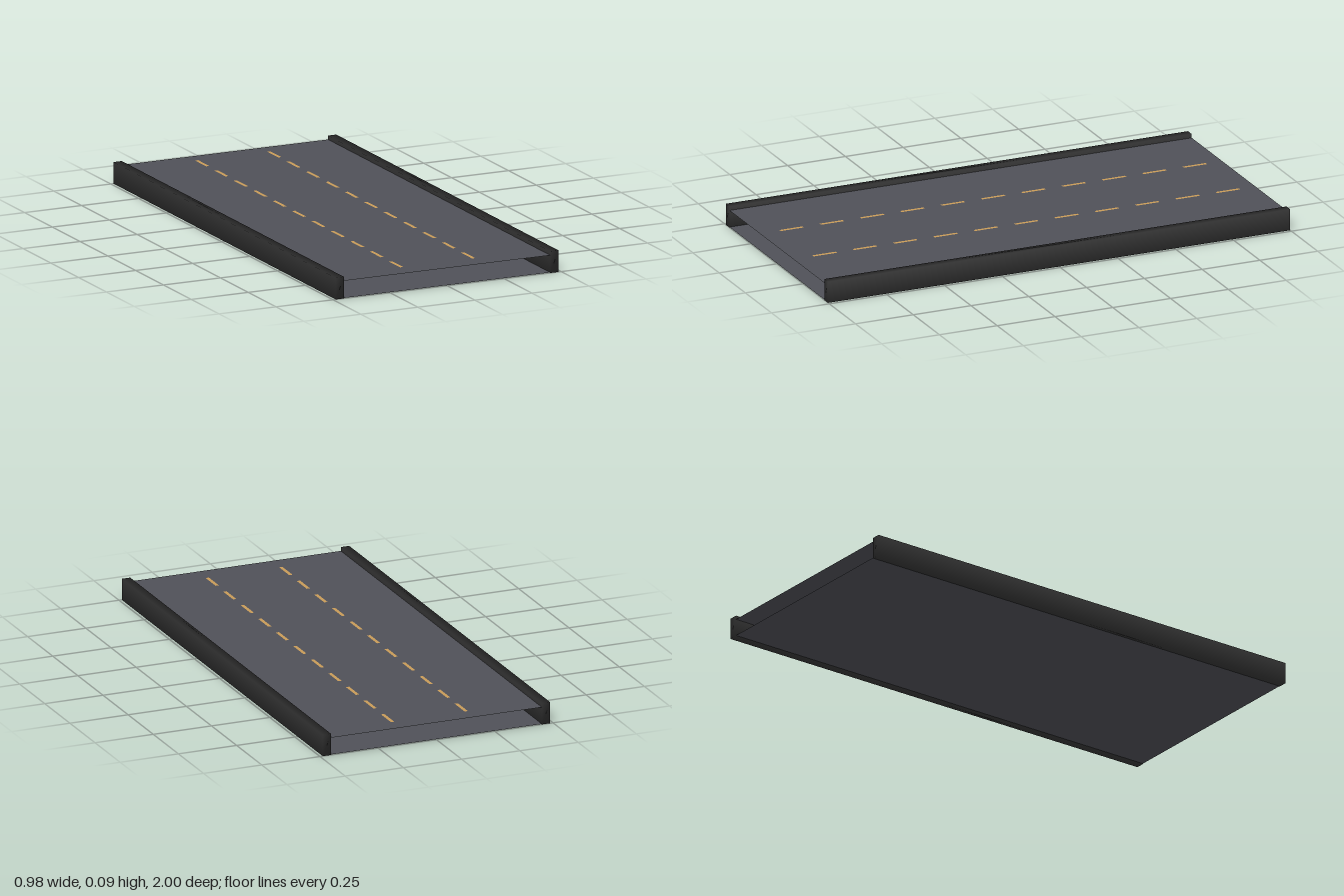
import * as THREE from 'three';
import { mergeVertices } from 'three/addons/utils/BufferGeometryUtils.js';

const LENGTH = 2;
const RAIL_WIDTH = 0.036;
const RAIL_HEIGHT = 0.088;
const ROAD_WIDTH = 0.906;
const DECK_Y = 0.072;

// Box whose corners share one averaged normal, for soft shading
function softBox(w, h, d) {
  const box = new THREE.BoxGeometry(w, h, d);
  box.deleteAttribute('normal');
  box.deleteAttribute('uv');
  const soft = mergeVertices(box);
  soft.computeVertexNormals();
  return soft;
}

// Horizontal sheet facing up
function sheet(w, d) {
  return new THREE.PlaneGeometry(w, d).rotateX(-Math.PI / 2);
}

export function createModel() {
  const group = new THREE.Group();
  const asphalt = new THREE.MeshStandardMaterial({ color: 0x505158, side: THREE.DoubleSide });
  const railDark = new THREE.MeshStandardMaterial({ color: 0x2f2f2f });
  const paint = new THREE.MeshStandardMaterial({ color: 0xc89b58, side: THREE.DoubleSide });

  const add = (name, geometry, material, x, y, z, parent = group) => {
    const mesh = new THREE.Mesh(geometry, material);
    mesh.name = name;
    mesh.position.set(x, y, z);
    parent.add(mesh);
  };

  // Road deck and underside, open at both ends
  const road = sheet(ROAD_WIDTH, LENGTH);
  add('roadDeck', road, asphalt, 0, DECK_Y, 0);
  add('roadUnderside', road, asphalt, 0, 0.002, 0);

  // Side rails
  const rail = softBox(RAIL_WIDTH, RAIL_HEIGHT, LENGTH);
  for (const side of [-1, 1]) {
    add(side > 0 ? 'leftRail' : 'rightRail', rail, railDark, side * 0.47, RAIL_HEIGHT / 2, 0);
  }

  // Two rows of lane dashes
  const dash = sheet(0.014, 0.1);
  for (const side of [-1, 1]) {
    const row = new THREE.Group();
    row.name = side > 0 ? 'leftLaneDashes' : 'rightLaneDashes';
    group.add(row);
    for (let i = 0; i < 11; i++) {
      add('laneDash', dash, paint, side * 0.158, DECK_Y + 0.0015, -0.88 + i * 0.1745, row);
    }
  }

  return group;
}
